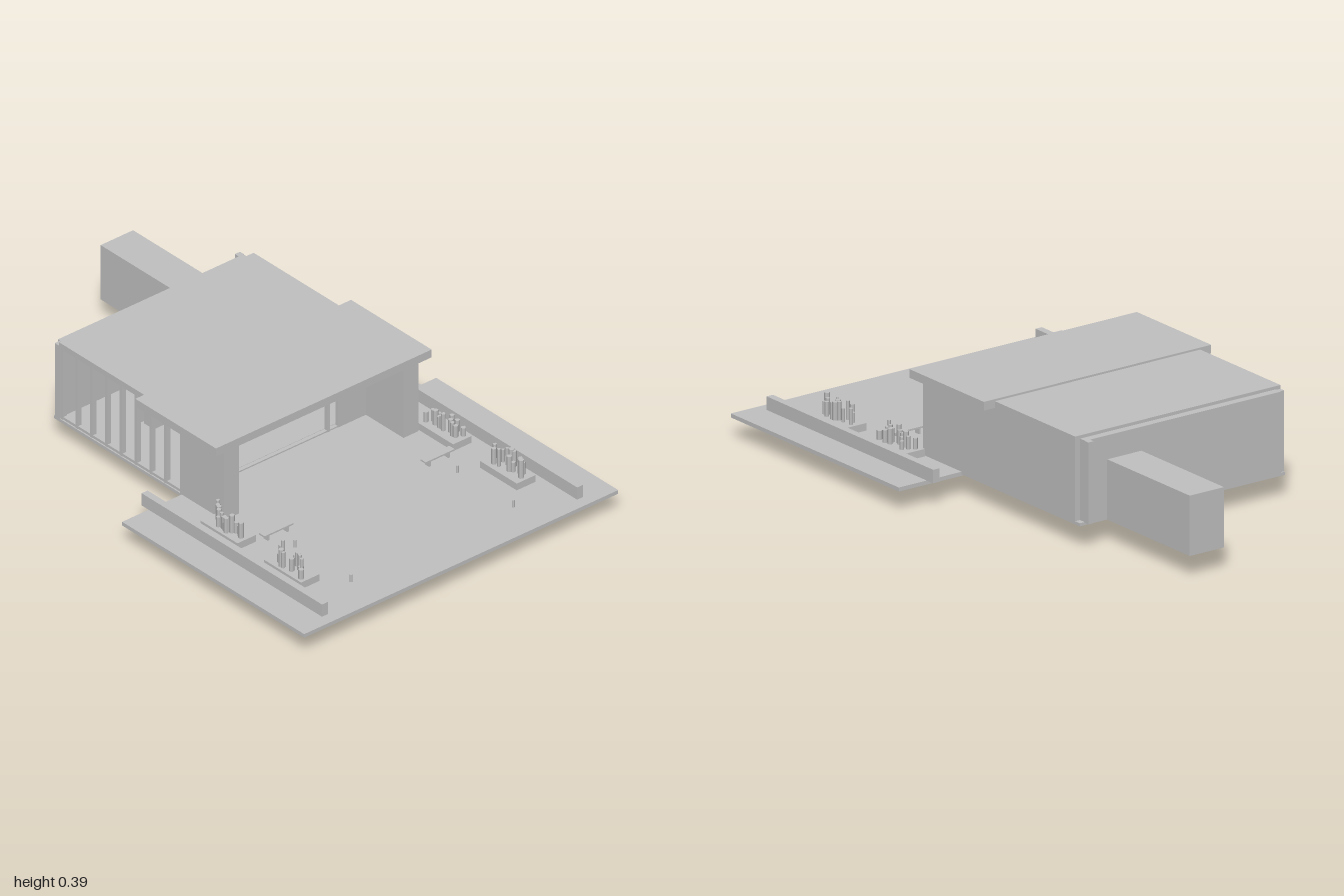
import * as THREE from 'three';

const grey = new THREE.MeshStandardMaterial({ color: 0xc0c0c0 });
grey.name = 'plain grey';

export function createModel() {
  const model = new THREE.Group();

  // box given by its limits on each axis
  function box(name, x0, x1, y0, y1, z0, z1, parent = model) {
    const m = new THREE.Mesh(new THREE.BoxGeometry(x1 - x0, y1 - y0, z1 - z0), grey);
    m.position.set((x0 + x1) / 2, (y0 + y1) / 2, (z0 + z1) / 2);
    m.name = name;
    parent.add(m);
    return m;
  }
  function post(name, x, y0, y1, z, r, sides = 8) {
    const m = new THREE.Mesh(new THREE.CylinderGeometry(r, r, y1 - y0, sides), grey);
    m.position.set(x, (y0 + y1) / 2, z);
    m.name = name;
    model.add(m);
  }
  // the same box on both sides of the model
  function pair(name, x0, x1, ...rest) {
    box(name, x0, x1, ...rest);
    box(name, -x1, -x0, ...rest);
  }
  let seed = 7;
  const rand = () => (seed = (seed * 16807) % 2147483647) / 2147483647;

  // ground slabs
  const G = 0.092;
  box('terrace', -0.677, 0.677, 0.078, G, 0.09, 1);
  box('houseFloor', -0.42, 0.42, 0.083, G + 0.002, -0.55, 0.09);

  // roofs
  box('frontRoof', -0.465, 0.465, 0.364, 0.394, -0.09, 0.313);
  box('soffit', -0.45, 0.45, 0.357, 0.364, 0.06, 0.3);
  box('rearRoof', -0.42, 0.42, 0.374, 0.387, -0.525, -0.09);

  // solid walls
  pair('frontWingWall', 0.355, 0.42, G, 0.36, 0.08, 0.3);
  box('sideWall', 0.398, 0.42, G, 0.374, -0.525, 0.08);
  box('rearWall', -0.4, 0.4, G, 0.376, -0.553, -0.525);
  box('rearFin', 0.38, 0.402, G, 0.376, -0.572, -0.553);
  box('rearWing', 0.17, 0.31, 0.084, 0.293, -1, -0.553);
  pair('facadePanel', 0.235, 0.355, G, 0.35, 0.1, 0.112);
  box('doorPost', 0.19, 0.2, G, 0.364, 0.095, 0.112);
  box('doorRail', 0.19, 0.235, 0.278, 0.286, 0.095, 0.112);
  box('threshold', -0.235, 0.235, G, 0.097, 0.095, 0.11);

  // glazed side: frame rails and uprights
  box('glazingSill', -0.415, -0.4, G, 0.104, -0.525, 0.08);
  box('glazingHead', -0.415, -0.4, 0.36, 0.374, -0.525, 0.08);
  for (let i = 0; i <= 7; i++) {
    const z = -0.52 + i * 0.074;
    box('mullion', -0.417, -0.4, G, 0.374, z, z + 0.012);
  }
  box('rearCornerPost', -0.42, -0.4, G, 0.374, -0.545, -0.52);

  // interior
  box('innerScreen', -0.235, 0.04, G, 0.33, -0.34, -0.33);
  box('counter', -0.235, 0.01, 0.16, 0.17, -0.33, -0.25);
  box('counterBase', -0.23, 0.005, G, 0.16, -0.32, -0.27);
  box('partition', 0.085, 0.093, G, 0.35, -0.5, -0.3);
  box('tableTop', -0.155, -0.08, 0.152, 0.16, -0.2, -0.13);
  for (const x of [-0.152, -0.089])
    for (const z of [-0.198, -0.138]) box('tableLeg', x, x + 0.006, G, 0.152, z, z + 0.006);
  box('chairSeat', 0.11, 0.145, 0.115, 0.122, -0.18, -0.145);
  box('chairBack', 0.11, 0.145, 0.122, 0.145, -0.184, -0.179);
  box('chairBase', 0.12, 0.135, G, 0.115, -0.17, -0.155);

  // pair of crossed thin hoops around a hub
  for (const [r, tilt] of [[0.087, 0.26], [0.078, -0.42]]) {
    const hoop = new THREE.Mesh(new THREE.TorusGeometry(r, 0.0025, 5, 48), grey);
    hoop.name = 'hoop';
    hoop.position.set(0, 0.092, -0.131);
    hoop.rotation.x = tilt;
    model.add(hoop);
  }
  const hub = new THREE.Mesh(new THREE.TorusGeometry(0.01, 0.003, 5, 16), grey);
  hub.name = 'hoopHub';
  hub.position.set(0, 0.094, -0.131);
  model.add(hub);

  // terrace: low side walls, benches, planters, bollards
  pair('lowWall', 0.537, 0.563, G, 0.139, 0.055, 0.957);
  pair('benchSeat', 0.285, 0.41, 0.112, 0.118, 0.465, 0.492);
  for (const x of [0.302, 0.385]) pair('benchLeg', x, x + 0.008, G, 0.112, 0.468, 0.489);
  for (const s of [-1, 1]) {
    for (const z of [0.575, 0.855]) post('bollard', s * 0.35, G, 0.12, z, 0.005);
  }
  for (const z of [0.282, 0.6]) {
    pair('planter', 0.425, 0.505, G, 0.118, z, z + 0.185);
    // clumps of upright stems
    for (const s of [-1, 1])
      for (let i = 0; i < 14; i++) {
        const px = s * (0.447 + rand() * 0.045);
        const pz = z + 0.02 + (i / 13) * 0.145;
        post('plant', px, 0.118, 0.145 + rand() * 0.042, pz, 0.006 + rand() * 0.004, 6);
      }
  }
  return model;
}
